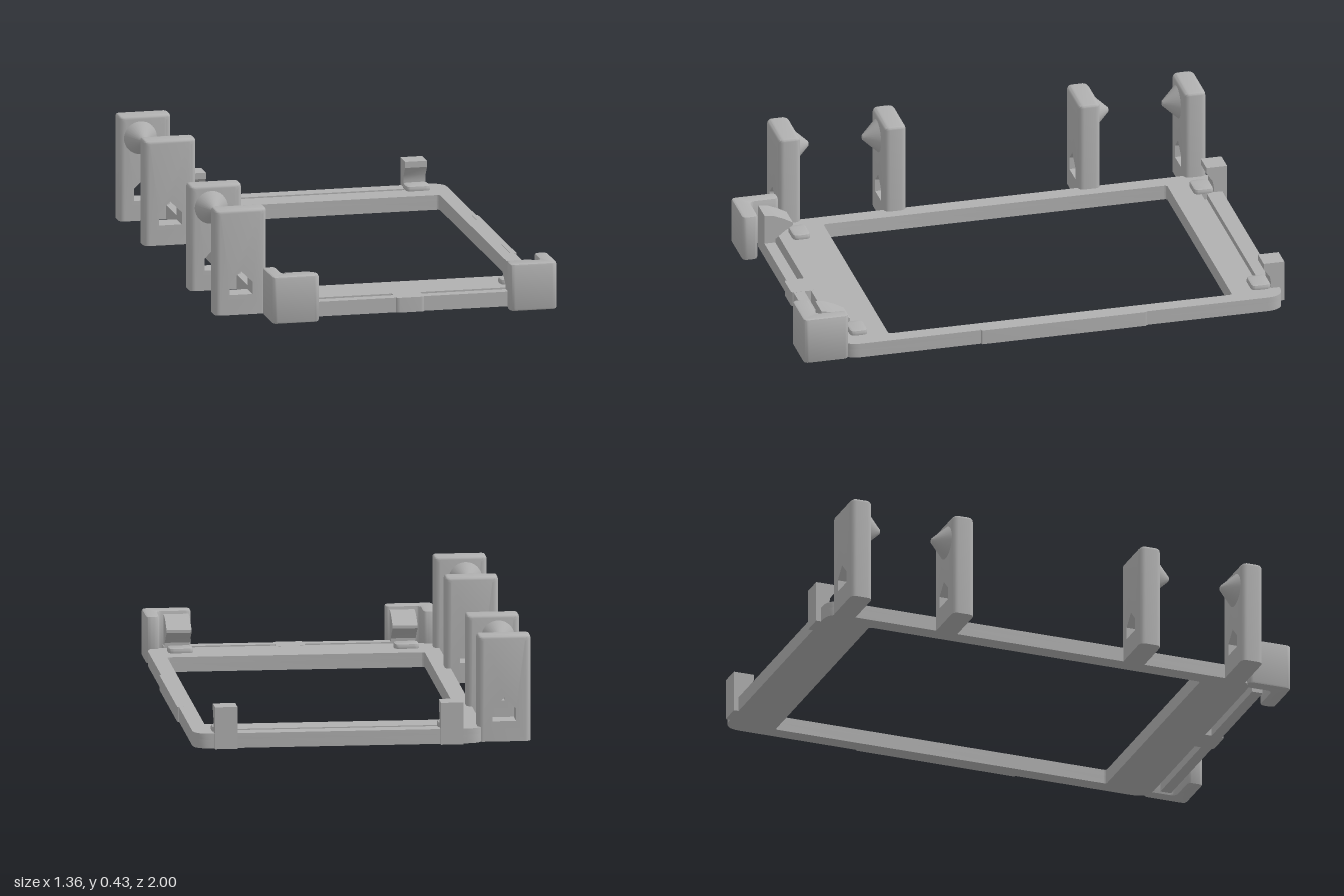
import * as THREE from 'three';
import { toCreasedNormals } from 'three/addons/utils/BufferGeometryUtils.js';

const CX = 0.093; // middle of the frame in x

// Closed outline with every corner rounded by r
function outline(pts, r, Kind = THREE.Shape) {
  const v = pts.map(p => new THREE.Vector2(p[0], p[1]));
  const s = new Kind();
  v.forEach((p, i) => {
    const a = v[(i + v.length - 1) % v.length], b = v[(i + 1) % v.length];
    const p0 = p.clone().add(a.clone().sub(p).setLength(r));
    const p1 = p.clone().add(b.clone().sub(p).setLength(r));
    if (i) s.lineTo(p0.x, p0.y); else s.moveTo(p0.x, p0.y);
    if (r > 0) s.quadraticCurveTo(p.x, p.y, p1.x, p1.y);
  });
  s.closePath();
  return s;
}

// Plan rectangle; shape y is -z
const rect = (x0, x1, z0, z1, r, Kind) =>
  outline([[x0, -z1], [x1, -z1], [x1, -z0], [x0, -z0]], r, Kind);

// Raise a plan shape from y0 to y1, with an optional edge bevel
function raise(shape, y0, y1, bevel = 0) {
  const g = new THREE.ExtrudeGeometry(shape, {
    depth: y1 - y0 - 2 * bevel, curveSegments: 6, bevelEnabled: bevel > 0,
    bevelSize: bevel, bevelOffset: -bevel, bevelThickness: bevel, bevelSegments: 2,
  });
  g.rotateX(-Math.PI / 2).translate(0, y0 + bevel, 0);
  return toCreasedNormals(g, 0.6);
}

// Sweep a (z, y) profile across x
function sweep(pts, x, width) {
  const s = new THREE.Shape(pts.map(p => new THREE.Vector2(p[0], p[1])));
  const g = new THREE.ExtrudeGeometry(s, { depth: width, bevelEnabled: false });
  g.rotateY(-Math.PI / 2).translate(x + width / 2, 0, 0);
  return toCreasedNormals(g, 0.5);
}

// Upright slab with a house-shaped window and rounded outer edges
function postGeometry() {
  const hw = 0.106, top = 0.43, half = 0.045, r = 0.022;
  const s = new THREE.Shape();
  s.moveTo(-hw, 0).lineTo(hw, 0).lineTo(hw, top - 0.012);
  s.quadraticCurveTo(hw, top, hw - 0.012, top);
  s.lineTo(-hw + 0.012, top);
  s.quadraticCurveTo(-hw, top, -hw, top - 0.012);
  s.closePath();
  s.holes.push(outline([[-0.047, 0.082], [-0.047, 0.132], [0, 0.178], [0.047, 0.132], [0.047, 0.082]], 0, THREE.Path));
  const n = 9;
  const g = new THREE.ExtrudeGeometry(s, { depth: n, steps: n, curveSegments: 4, bevelEnabled: false });
  const p = g.attributes.position;
  for (let i = 0; i < p.count; i++) {
    const k = Math.round(p.getZ(i));
    // four rounding layers at each face
    const a = Math.min(k, n - k) / 4 * Math.PI / 2;
    const z = half - r * (1 - Math.cos(Math.PI / 2 - a));
    const depth = half - r + r * Math.cos(a);
    const inset = r * (1 - Math.sin(a));
    p.setZ(i, k <= n / 2 ? -depth : depth);
    const x = p.getX(i), y = p.getY(i);
    if (Math.abs(x) > 0.06) p.setX(i, x - Math.sign(x) * inset);
    if (y > 0.3) p.setY(i, y - inset * 0.6);
  }
  return toCreasedNormals(g, 0.6);
}

export function createModel() {
  const model = new THREE.Group();
  model.name = 'mountingFrame';
  const grey = new THREE.MeshStandardMaterial({ color: 0xb0b0b0 });
  grey.name = 'grey';
  const add = (name, geo, parent = model) => {
    const m = new THREE.Mesh(geo, grey);
    m.name = name;
    parent.add(m);
    return m;
  };

  // Flat frame in two layers; the upper one holds the rear groove
  const frame = () => {
    const s = rect(-0.49, 0.673, -0.98, 0.835, 0.07);
    s.holes.push(rect(-0.422, 0.61, -0.78, 0.635, 0.012, THREE.Path));
    return s;
  };
  add('frameBase', raise(frame(), 0, 0.035));
  const upper = frame();
  upper.holes.push(rect(-0.31, 0.495, -0.915, -0.893, 0, THREE.Path));
  add('frameTop', raise(upper, 0.035, 0.06));
  add('sidePad', raise(rect(0.655, 0.68, -0.41, 0.27, 0.005), 0, 0.0605));

  // Front spring bar with its central bridge
  add('springBar', raise(rect(-0.41, 0.6, 0.862, 0.907, 0), 0, 0.06));
  add('springBridge', raise(rect(0.036, 0.153, 0.82, 0.916, 0.015), 0, 0.0605));

  for (const side of [-1, 1]) {
    // L-shaped front corner guard
    const pts = [[0.583, 0.815], [0.583, 1], [0.39, 1], [0.39, 0.935], [0.528, 0.935], [0.528, 0.815]];
    add('cornerGuard', raise(outline(pts.map(([u, z]) => [CX + side * u, -z]), 0.022), 0, 0.192, 0.008));

    // Snap clips and the rounded rests in front of them
    const x = CX + side * 0.453;
    add('frontClip', sweep([[0.907, 0], [0.907, 0.183], [0.87, 0.178], [0.83, 0.162], [0.79, 0.14],
      [0.79, 0.128], [0.825, 0.105], [0.862, 0.075], [0.862, 0]], x, 0.1));
    add('rearClip', sweep([[-0.945, 0], [-0.945, 0.085], [-0.94, 0.11], [-0.915, 0.145], [-0.915, 0.17],
      [-1, 0.17], [-1, 0]], x, 0.09));
    add('frontRest', raise(rect(x - 0.05, x + 0.05, 0.715, 0.787, 0.022), 0.05, 0.08, 0.008));
    add('rearRest', raise(rect(x - 0.05, x + 0.05, -0.945, -0.865, 0.022), 0.05, 0.08, 0.008));
  }

  // Four uprights in facing pairs, each with a cone stud
  const slab = postGeometry();
  const cone = new THREE.CylinderGeometry(0.01, 0.068, 0.062, 32);
  cone.rotateX(Math.PI / 2);
  const stud = toCreasedNormals(cone, 0.6);
  for (const [z, dir] of [[-0.91, 1], [-0.475, -1], [0.325, 1], [0.76, -1]]) {
    const post = new THREE.Group();
    post.name = 'post';
    post.position.set(-0.574, 0, z);
    add('postSlab', slab, post);
    const c = add('postStud', stud, post);
    c.position.set(-0.02, 0.34, dir * 0.075);
    if (dir < 0) c.rotation.y = Math.PI;
    model.add(post);
  }
  return model;
}
